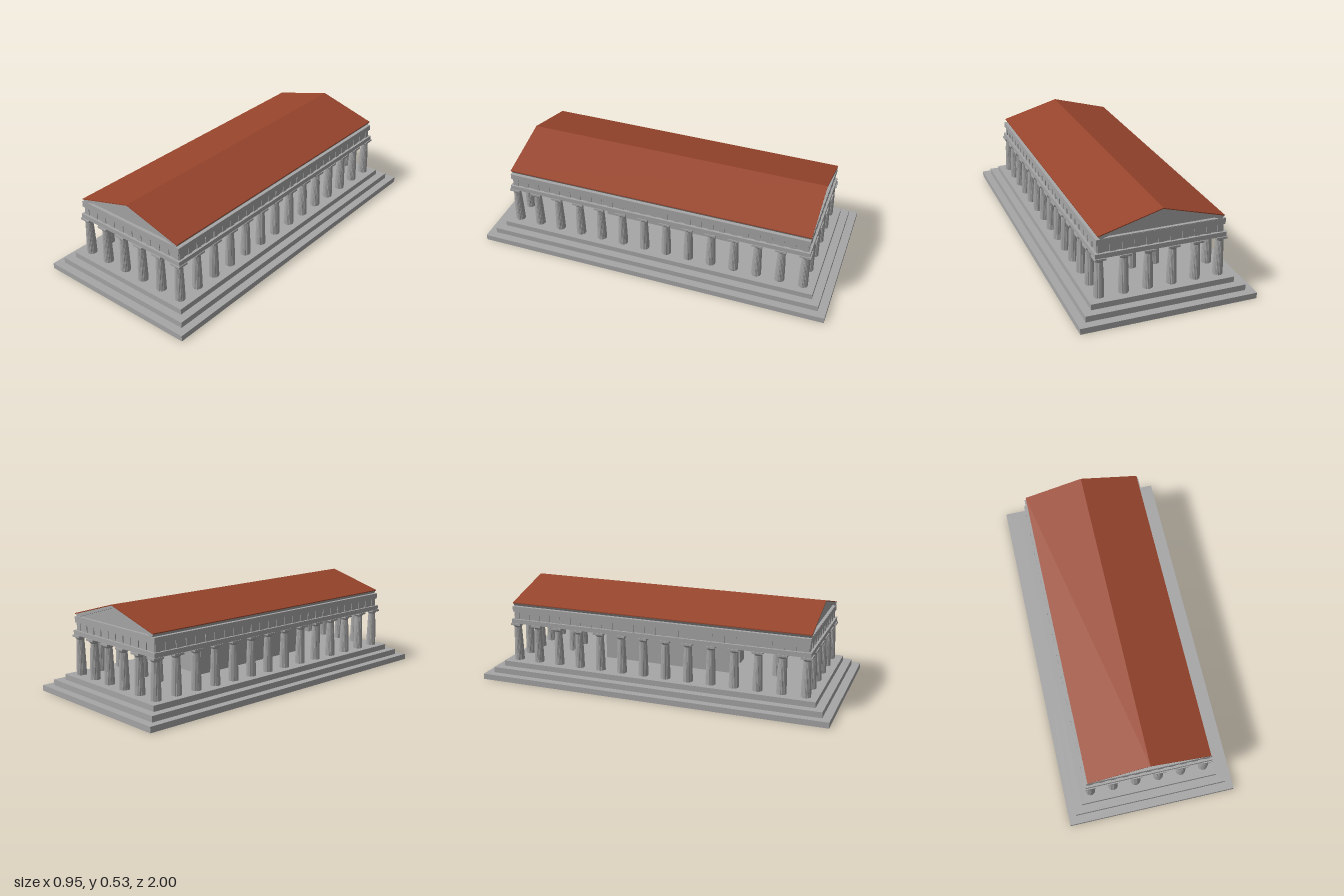
import * as THREE from 'three';
import { toCreasedNormals } from 'three/addons/utils/BufferGeometryUtils.js';

export function createModel() {
  const model = new THREE.Group();
  const stone = new THREE.MeshStandardMaterial({ color: 0xa6a6a6 });
  const tile = new THREE.MeshStandardMaterial({ color: 0x98452c });
  stone.name = 'grey stone';
  tile.name = 'terracotta';

  const add = (name, geo, mat = stone, parent = model) => {
    const mesh = new THREE.Mesh(geo, mat);
    mesh.name = name;
    parent.add(mesh);
    return mesh;
  };
  // Box given by its x, y and z limits
  const box = (name, x0, x1, y0, y1, z0, z1, parent = model) => {
    const mesh = add(name, new THREE.BoxGeometry(x1 - x0, y1 - y0, z1 - z0), stone, parent);
    mesh.position.set((x0 + x1) / 2, (y0 + y1) / 2, (z0 + z1) / 2);
    return mesh;
  };
  const polygon = (points) => new THREE.Shape(points.map(([x, y]) => new THREE.Vector2(x, y)));
  const extrude = (shape, depth) => new THREE.ExtrudeGeometry(shape, { depth, bevelEnabled: false });
  const rect = (hx, hz) => [[-hx, -hz], [hx, -hz], [hx, hz], [-hx, hz]];
  // Hollow rectangular course of masonry
  const ring = (name, hx, hz, width, y0, y1) => {
    const shape = polygon(rect(hx, hz));
    shape.holes.push(polygon(rect(hx - width, hz - width)));
    const geo = extrude(shape, y1 - y0);
    geo.rotateX(-Math.PI / 2);
    add(name, geo).position.y = y0;
  };

  // Stepped platform, open underneath
  ring('lowerStep', 0.475, 1, 0.1, 0, 0.032);
  ring('middleStep', 0.432, 0.955, 0.1, 0.032, 0.064);
  box('floor', -0.388, 0.388, 0.064, 0.095, -0.91, 0.91);

  // Fluted tapering shaft: every other vertex line is drawn inwards
  const profile = [[0.0275, 0], [0.026, 0.07], [0.0235, 0.14], [0.0205, 0.198]];
  const shaftGeo = new THREE.LatheGeometry(profile.map(([r, y]) => new THREE.Vector2(r, y)), 40);
  const pos = shaftGeo.attributes.position;
  for (let i = 0; i < pos.count; i++) {
    const line = Math.floor(i / profile.length);
    const k = line % 2 ? 0.94 : 1;
    pos.setXYZ(i, pos.getX(i) * k, pos.getY(i), pos.getZ(i) * k);
  }
  const shaft = toCreasedNormals(shaftGeo, 0.3);
  const echinus = new THREE.LatheGeometry(
    [[0.0205, 0.196], [0.022, 0.2], [0.027, 0.206], [0.029, 0.211], [0, 0.211]]
      .map(([r, y]) => new THREE.Vector2(r, y)), 24);
  const echinusGeo = toCreasedNormals(echinus, 0.7);
  const abacus = new THREE.BoxGeometry(0.06, 0.011, 0.06);

  const columns = new THREE.Group();
  columns.name = 'columns';
  model.add(columns);
  const column = (name, x, z) => {
    const group = new THREE.Group();
    group.name = name;
    group.position.set(x, 0.095, z);
    add('shaft', shaft, stone, group);
    add('echinus', echinusGeo, stone, group);
    add('abacus', abacus, stone, group).position.y = 0.2145;
    columns.add(group);
  };

  // Six columns across each end, fourteen along each side
  const spacing = 0.13;
  for (const s of [-1, 1]) {
    for (let i = 0; i < 6; i++) column('endColumn', (i - 2.5) * spacing, s * 6.5 * spacing);
    for (let i = 1; i < 13; i++) column('sideColumn', s * 2.5 * spacing, (i - 6.5) * spacing);
    for (const x of [-0.065, 0.065]) column('porchColumn', x, s * 0.626);
    box('porchBeam', -0.125, 0.125, 0.32, 0.345, s * 0.626 - 0.025, s * 0.626 + 0.025);
  }

  // Inner chamber with a doorway at the front
  const chamber = new THREE.Group();
  chamber.name = 'chamber';
  model.add(chamber);
  for (const s of [-1, 1]) {
    const x = s * 0.115;
    box('sideWall', x - 0.01, x + 0.01, 0.095, 0.345, -0.38, 0.38, chamber);
    const d = s * 0.075;
    box('doorWall', d - 0.03, d + 0.03, 0.095, 0.345, 0.36, 0.38, chamber);
  }
  box('lintel', -0.045, 0.045, 0.305, 0.345, 0.36, 0.38, chamber);
  box('backWall', -0.105, 0.105, 0.095, 0.345, -0.38, -0.36, chamber);

  // Architrave, frieze and cornice
  ring('architrave', 0.351, 0.869, 0.055, 0.315, 0.34);
  box('frieze', -0.336, 0.336, 0.339, 0.384, -0.854, 0.854);
  box('cornice', -0.345, 0.345, 0.383, 0.415, -0.863, 0.863);

  // Triglyphs above each column and each gap
  const triglyphs = new THREE.Group();
  triglyphs.name = 'triglyphs';
  model.add(triglyphs);
  const endPlate = new THREE.BoxGeometry(0.03, 0.042, 0.006);
  const sidePlate = new THREE.BoxGeometry(0.006, 0.042, 0.03);
  for (const s of [-1, 1]) {
    for (let i = -5; i <= 5; i++) {
      add('endTriglyph', endPlate, stone, triglyphs).position.set(i * 0.0642, 0.361, s * 0.855);
    }
    for (let i = -13; i <= 13; i++) {
      add('sideTriglyph', sidePlate, stone, triglyphs).position.set(s * 0.337, 0.361, i * 0.0645);
    }
  }

  // Gable body with raking cornices around the recessed pediments
  const outline = [[-0.325, 0.415], [0.325, 0.415], [0.335, 0.43], [0, 0.524], [-0.335, 0.43]];
  add('gable', extrude(polygon(outline), 1.69)).position.z = -0.845;
  const frame = polygon(outline);
  frame.holes.push(polygon([[-0.31, 0.418], [0.31, 0.418], [0, 0.51]]));
  const frameGeo = extrude(frame, 0.018);
  add('frontRakingCornice', frameGeo).position.z = 0.844;
  add('backRakingCornice', frameGeo).position.z = -0.862;

  // Roof covering
  const roof = polygon([[-0.336, 0.43], [0, 0.524], [0.336, 0.43], [0.336, 0.435], [0, 0.529], [-0.336, 0.435]]);
  add('roof', extrude(roof, 1.73), tile).position.z = -0.865;
  return model;
}
